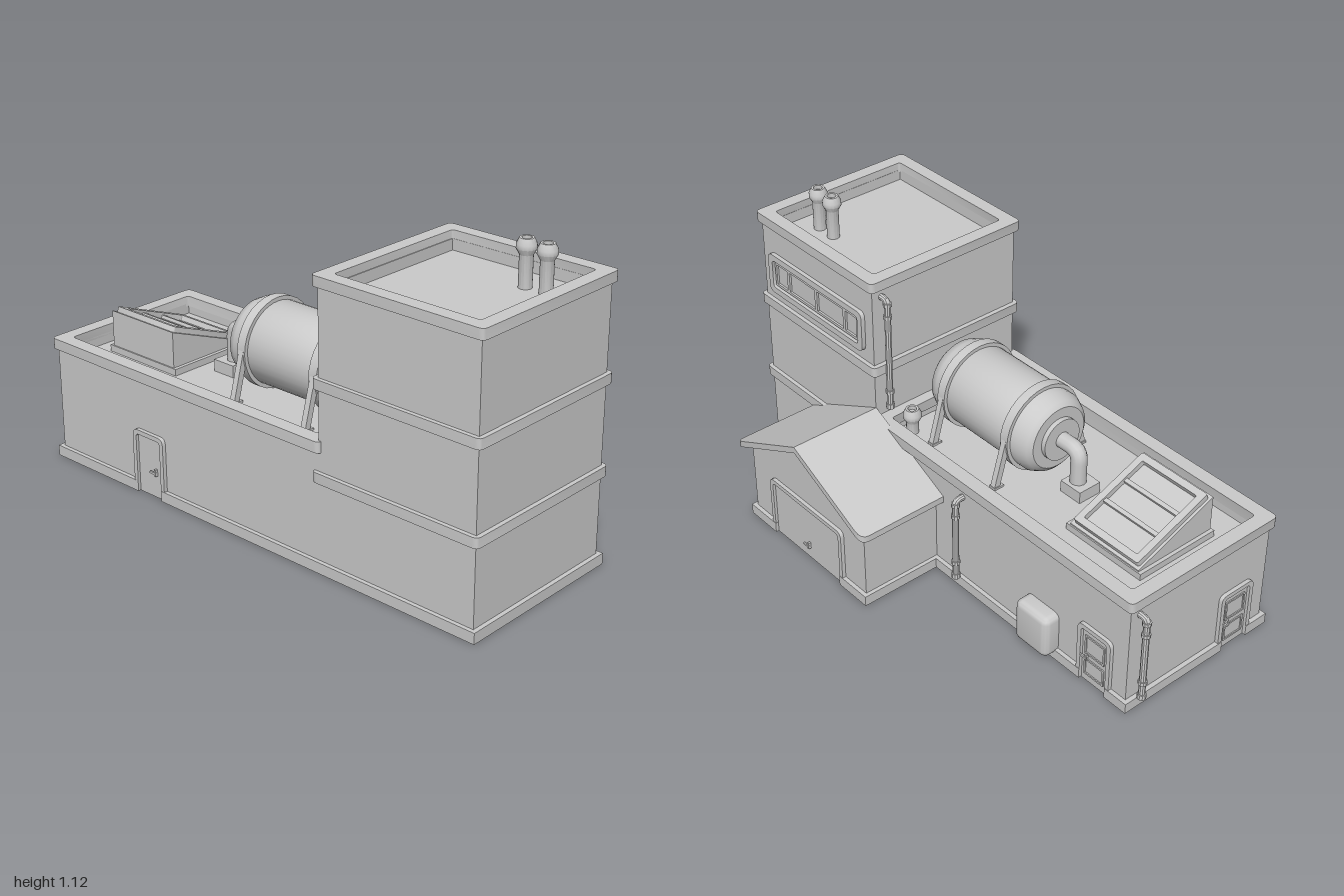
import * as THREE from 'three';
import { toCreasedNormals } from 'three/addons/utils/BufferGeometryUtils.js';
import { RoundedBoxGeometry } from 'three/addons/geometries/RoundedBoxGeometry.js';

const mat = new THREE.MeshStandardMaterial({ color: 0xcccccc });
const V = (x, y, z) => new THREE.Vector3(x, y, z);

function add(parent, name, geo, x = 0, y = 0, z = 0) {
  const m = new THREE.Mesh(toCreasedNormals(geo, 0.6), mat);
  m.name = name;
  m.position.set(x, y, z);
  parent.add(m);
  return m;
}
function group(parent, name, x, y, z, ry = 0) {
  const g = new THREE.Group();
  g.name = name;
  g.position.set(x, y, z);
  g.rotation.y = ry;
  parent.add(g);
  return g;
}
const box = (p, name, w, h, d, x, y, z) => add(p, name, new THREE.BoxGeometry(w, h, d), x, y, z);
const extrude = (shape, depth) =>
  new THREE.ExtrudeGeometry(shape, { depth, bevelEnabled: false, curveSegments: 4 });

// Rectangle with rounded corners; rb is the radius of the two lower corners
function roundRect(x0, y0, x1, y1, r, rb = r, Type = THREE.Shape) {
  const s = new Type();
  s.moveTo(x0 + rb, y0);
  s.lineTo(x1 - rb, y0);
  if (rb) s.quadraticCurveTo(x1, y0, x1, y0 + rb);
  s.lineTo(x1, y1 - r);
  if (r) s.quadraticCurveTo(x1, y1, x1 - r, y1);
  s.lineTo(x0 + r, y1);
  if (r) s.quadraticCurveTo(x0, y1, x0, y1 - r);
  s.lineTo(x0, y0 + rb);
  if (rb) s.quadraticCurveTo(x0, y0, x0 + rb, y0);
  return s;
}
function frameShape(x0, y0, x1, y1, t, r, rb = r, tb = t) {
  const s = roundRect(x0, y0, x1, y1, r, rb);
  s.holes.push(roundRect(x0 + t, y0 + tb, x1 - t, y1 - t, r * 0.6, rb * 0.6, THREE.Path));
  return s;
}
// Plan outline (drawn in x, -z) raised from y0 to y1
const slab = (p, name, shape, y0, y1) =>
  add(p, name, extrude(shape, y1 - y0).rotateX(-Math.PI / 2), 0, y0, 0);

// Door in its own frame: outward is local +z
function door(root, name, x, z, ry, w, h, handleX, handleY, panes) {
  const g = group(root, name, x, 0, z, ry), hw = w / 2;
  const s = new THREE.Shape();
  const r = 0.025, t = 0.017, iw = hw - t, ih = h - t;
  s.moveTo(-hw, 0); s.lineTo(-hw, h - r); s.quadraticCurveTo(-hw, h, -hw + r, h);
  s.lineTo(hw - r, h); s.quadraticCurveTo(hw, h, hw, h - r); s.lineTo(hw, 0);
  s.lineTo(iw, 0); s.lineTo(iw, ih - 0.008); s.lineTo(iw - 0.008, ih);
  s.lineTo(-iw + 0.008, ih); s.lineTo(-iw, ih - 0.008); s.lineTo(-iw, 0);
  add(g, 'doorFrame', extrude(s, 0.0145));
  box(g, 'doorLeaf', iw * 2 - 0.004, ih - 0.002, 0.01, 0, ih / 2, 0);
  if (panes) for (const [y0, y1] of [[0.03, 0.1], [0.12, 0.2]])
    add(g, 'doorPanel', extrude(frameShape(-iw + 0.014, y0, iw - 0.014, y1, 0.007, 0.003), 0.005), 0, 0, 0.004);
  box(g, 'doorHandle', 0.03, 0.008, 0.006, handleX, handleY, 0.016);
  box(g, 'handleMount', 0.008, 0.026, 0.012, handleX + 0.008, handleY, 0.01);
}

// Downpipe standing off a wall, bent into it at the top
function downpipe(root, x, z, ry, y0, y1) {
  const g = group(root, 'downpipe', x, 0, z, ry), o = 0.033;
  const path = new THREE.CurvePath();
  path.add(new THREE.LineCurve3(V(0, y0, o), V(0, y1 - 0.032, o)));
  path.add(new THREE.QuadraticBezierCurve3(V(0, y1 - 0.032, o), V(0, y1 - 0.014, o), V(0, y1 - 0.014, o - 0.018)));
  path.add(new THREE.LineCurve3(V(0, y1 - 0.014, o - 0.018), V(0, y1 - 0.014, -0.01)));
  add(g, 'pipe', new THREE.TubeGeometry(path, 40, 0.012, 10));
  for (const [y, h] of [[y0 + 0.01, 0.02], [y0 + 0.07, 0.014], [y1 - 0.08, 0.014], [y1 - 0.03, 0.014]])
    add(g, 'pipeCollar', new THREE.CylinderGeometry(0.016, 0.016, h, 10), 0, y, o);
}

// Vent stack with a bulging cap
function vent(root, x, y, z, h) {
  const p = [[0, 0], [0.023, 0], [0.023, h - 0.055], [0.034, h - 0.035], [0.034, h - 0.02],
    [0.024, h], [0.016, h], [0.016, h - 0.015], [0, h - 0.015]];
  add(root, 'vent', new THREE.LatheGeometry(p.map(a => new THREE.Vector2(...a)), 16), x, y, z);
}

export function createModel() {
  const root = new THREE.Group();
  root.name = 'factory';

  // Low hall with a sunken roof and capped parapet
  box(root, 'hallBody', 1.3, 0.4, 0.645, -0.3, 0.2, 0.1725);
  slab(root, 'hallParapet', frameShape(-0.95, -0.495, 0.345, 0.15, 0.037, 0), 0.39, 0.44);
  slab(root, 'hallCap', frameShape(-0.967, -0.51, 0.352, 0.166, 0.054, 0.02), 0.43, 0.47);

  // Tower with bands
  box(root, 'towerBody', 0.64, 0.96, 0.645, 0.66, 0.48, 0.1725);
  slab(root, 'towerParapet', frameShape(0.34, -0.495, 0.98, 0.15, 0.037, 0), 0.95, 1.0);
  for (const y of [0.325, 0.65])
    slab(root, 'towerBand', roundRect(0.322, -0.51, 0.996, 0.166, 0.02), y, y + 0.037);
  slab(root, 'towerCap', frameShape(0.322, -0.51, 0.996, 0.166, 0.052, 0.02), 0.993, 1.03);
  for (const x of [0.765, 0.845]) vent(root, x, 0.95, 0.008, 0.175);
  vent(root, 0.262, 0.39, -0.048, 0.11);

  // Plinth, notched at the doorways
  const plinth = [[-0.967, 0.51], [-0.527, 0.51], [-0.527, 0.495], [-0.407, 0.495], [-0.407, 0.51],
    [0.996, 0.51], [0.996, -0.166], [0.68, -0.166], [0.68, -0.486], [0.53, -0.486], [0.53, -0.47],
    [0.145, -0.47], [0.145, -0.486], [-0.005, -0.486], [-0.005, -0.166], [-0.747, -0.166],
    [-0.747, -0.15], [-0.867, -0.15], [-0.867, -0.166], [-0.967, -0.166], [-0.967, 0.29],
    [-0.95, 0.29], [-0.95, 0.41], [-0.967, 0.41]];
  slab(root, 'plinth', new THREE.Shape(plinth.map(([x, z]) => new THREE.Vector2(x, -z))), 0, 0.04);

  // Garage with a gabled roof
  const gable = [[0.01, 0], [0.665, 0], [0.665, 0.32], [0.3375, 0.485], [0.01, 0.32]];
  add(root, 'garageBody', extrude(new THREE.Shape(gable.map(a => new THREE.Vector2(...a))), 0.33), 0, 0, -0.47);
  for (const s of [-1, 1]) {
    const w = 0.368, r = 0.035, sh = new THREE.Shape();
    sh.moveTo(0, 0.15); sh.lineTo(s * w, 0.15); sh.lineTo(s * w, 0.511 - r);
    sh.quadraticCurveTo(s * w, 0.511, s * (w - r), 0.511); sh.lineTo(0, 0.511);
    const geo = extrude(sh, 0.025).rotateX(-Math.PI / 2), p = geo.attributes.position;
    for (let i = 0; i < p.count; i++) p.setY(i, p.getY(i) + 0.18 * (1 - Math.abs(p.getX(i)) / w));
    geo.computeVertexNormals();
    add(root, 'garageRoof', geo, 0.3375, 0.305, 0);
  }
  door(root, 'garageDoor', 0.3375, -0.47, Math.PI, 0.42, 0.243, 0, 0.06, false);

  // Doors
  door(root, 'frontDoor', -0.467, 0.495, 0, 0.154, 0.243, 0.024, 0.1, false);
  door(root, 'backDoor', -0.807, -0.15, Math.PI, 0.154, 0.243, -0.042, 0.11, true);
  door(root, 'sideDoor', -0.95, 0.35, -Math.PI / 2, 0.154, 0.243, -0.045, 0.11, true);

  // Tower window
  const win = group(root, 'towerWindow', 0.66, 0.806, -0.15, Math.PI);
  add(win, 'windowFrame', extrude(frameShape(-0.275, -0.08, 0.275, 0.08, 0.024, 0.025), 0.016));
  add(win, 'windowSash', extrude(frameShape(-0.245, -0.05, 0.245, 0.05, 0.01, 0), 0.008));
  for (const x of [-0.165, 0, 0.165]) box(win, 'windowBar', 0.014, 0.09, 0.008, x, 0, 0.004);

  // Downpipes and utility box
  downpipe(root, -0.95, -0.11, -Math.PI / 2, 0.05, 0.405);
  downpipe(root, -0.135, -0.15, Math.PI, 0.05, 0.405);
  downpipe(root, 0.34, -0.11, -Math.PI / 2, 0.51, 0.97);
  add(root, 'utilityBox', new RoundedBoxGeometry(0.158, 0.17, 0.1, 3, 0.025), -0.55, 0.105, -0.162);

  // Skylight: wedge with a sloping glazed frame
  const sky = group(root, 'skylight', -0.67, 0, 0);
  box(sky, 'skylightBase', 0.348, 0.03, 0.345, 0, 0.41, 0.1675);
  const wedge = [[0, 0.39], [0, 0.43], [-0.335, 0.56], [-0.335, 0.39]].map(a => new THREE.Vector2(...a));
  add(sky, 'skylightBody', extrude(new THREE.Shape(wedge), 0.32).rotateY(Math.PI / 2), -0.16, 0, 0);
  const glazing = group(sky, 'skylightGlazing', 0, 0.495, 0.1675);
  glazing.rotation.x = -Math.atan2(0.13, 0.335);
  slab(glazing, 'skylightFrame', frameShape(-0.15, -0.168, 0.15, 0.168, 0.026, 0.008), 0, 0.02);
  for (const z of [-0.045, 0.055]) box(glazing, 'skylightBar', 0.25, 0.012, 0.016, 0, 0.006, z);

  // Tank lying along x, strapped to splayed legs
  const tank = group(root, 'tank', 0, 0.57, 0.163);
  const prof = [[0, 0.29], [0.08, 0.29], [0.08, 0.272], [0.118, 0.272], [0.136, 0.258], [0.152, 0.225],
    [0.152, -0.205], [0.136, -0.242], [0.118, -0.258], [0, -0.258]].reverse();
  add(tank, 'tankShell', new THREE.LatheGeometry(prof.map(a => new THREE.Vector2(...a)), 40).rotateZ(Math.PI / 2));
  for (const x of [-0.175, 0.157]) {
    const ring = new THREE.Shape().absarc(0, 0, 0.166, 0, Math.PI * 2);
    ring.holes.push(new THREE.Path().absarc(0, 0, 0.148, 0, Math.PI * 2));
    const geo = new THREE.ExtrudeGeometry(ring, { depth: 0.036, bevelEnabled: false, curveSegments: 16 });
    add(tank, 'tankStrap', geo.rotateY(Math.PI / 2), x - 0.018, 0, 0);
    for (const s of [-1, 1]) {
      const leg = box(tank, 'tankLeg', 0.022, 0.21, 0.024, x, -0.08, s * 0.178);
      leg.rotation.x = -s * 0.27;
      box(tank, 'tankFoot', 0.03, 0.012, 0.04, x, -0.168, s * 0.195);
    }
  }

  // Outlet pipe bending down into the roof
  const out = new THREE.CurvePath();
  out.add(new THREE.LineCurve3(V(-0.28, 0.572, 0.163), V(-0.335, 0.572, 0.163)));
  out.add(new THREE.QuadraticBezierCurve3(V(-0.335, 0.572, 0.163), V(-0.374, 0.572, 0.163), V(-0.374, 0.533, 0.163)));
  out.add(new THREE.LineCurve3(V(-0.374, 0.533, 0.163), V(-0.374, 0.4, 0.163)));
  add(root, 'outletPipe', new THREE.TubeGeometry(out, 24, 0.03, 12));
  box(root, 'outletBase', 0.095, 0.05, 0.095, -0.382, 0.42, 0.167);
  return root;
}
